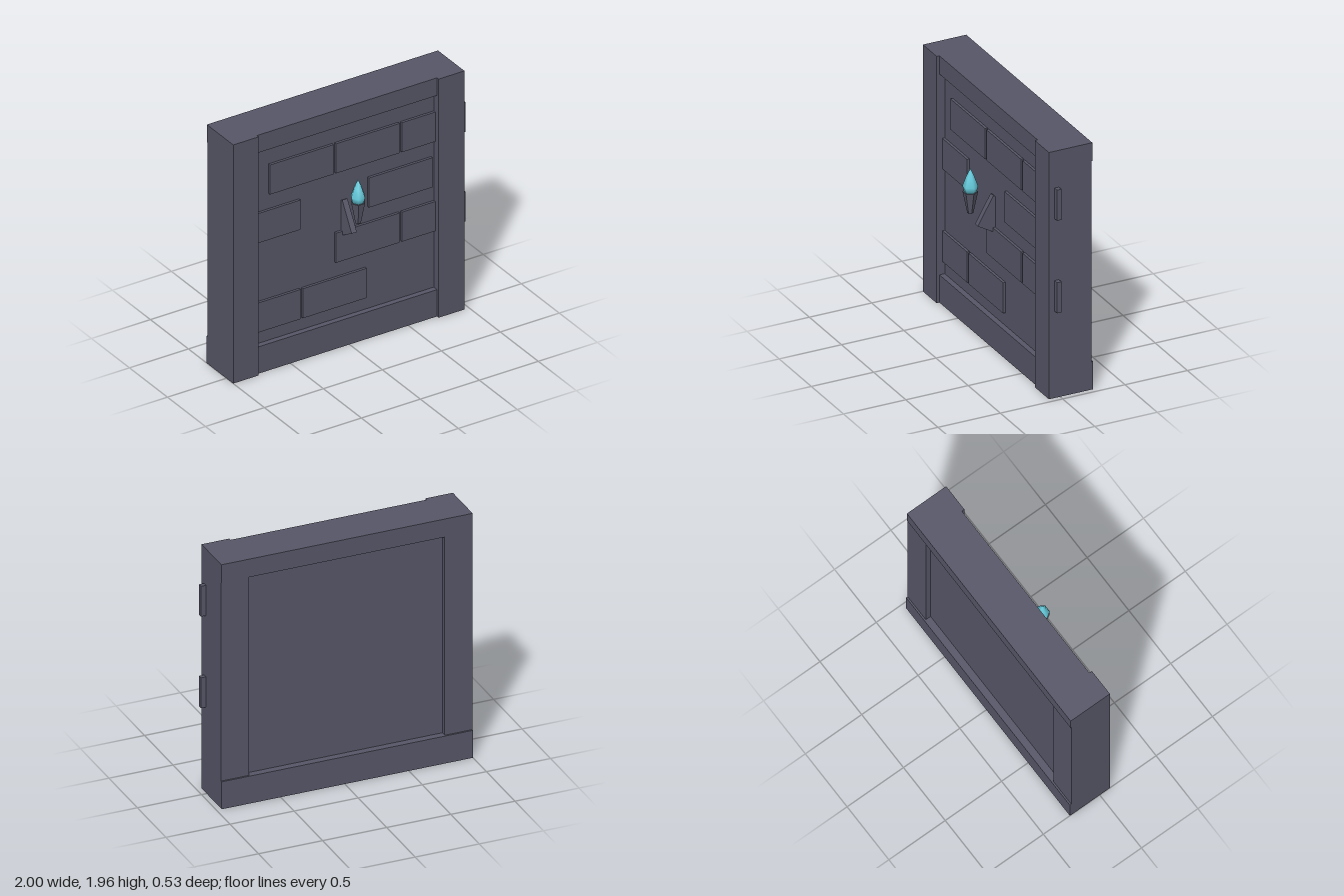
import * as THREE from 'three';

export function createModel() {
  const group = new THREE.Group();
  const stone = new THREE.MeshStandardMaterial({ color: 0x555566 });
  stone.name = 'slate stone';
  const flameBlue = new THREE.MeshStandardMaterial({ color: 0x66ccdd });
  flameBlue.name = 'flame blue';

  const add = (name, geometry, material = stone) => {
    const mesh = new THREE.Mesh(geometry, material);
    mesh.name = name;
    group.add(mesh);
    return mesh;
  };
  // Box given by its minimum and maximum on each axis
  const block = (name, x0, x1, y0, y1, z0, z1) => {
    const mesh = add(name, new THREE.BoxGeometry(x1 - x0, y1 - y0, z1 - z0));
    mesh.position.set((x0 + x1) / 2, (y0 + y1) / 2, (z0 + z1) / 2);
    return mesh;
  };

  // Frame and recessed panel
  block('rightPost', -1, -0.785, 0, 1.96, -0.252, 0.09);
  block('leftPost', 0.742, 0.96, 0, 1.96, -0.252, 0.09);
  block('topBeam', -1, 0.96, 1.815, 1.96, -0.258, 0.068);
  block('bottomBeam', -1, 0.96, 0, 0.22, -0.265, 0.068);
  block('wallPanel', -0.8, 0.76, 0.2, 1.83, -0.21, 0.025);

  // Raised bricks: row bottom, then the right-hand edge of each brick
  const rows = [
    [1.425, [-0.66, -0.1, 0.46]],
    [1.057, [-0.94, 0.18]],
    [0.69, [-0.1, 0.46]],
    [0.322, [-0.94, -0.38]],
  ];
  for (const [y, starts] of rows) {
    for (const x of starts) block('brick', x, x + 0.54, y, y + 0.243, 0.01, 0.045);
  }

  // Tilted bracket, turned about its lower front edge
  const bracketShape = new THREE.BoxGeometry(0.044, 0.25, 0.18);
  bracketShape.translate(0, 0.125, -0.09);
  const bracket = add('torchBracket', bracketShape);
  bracket.position.set(-0.022, 0.97, 0.165);
  bracket.rotation.x = -Math.PI / 6;

  // Six-sided torch with corners pointing sideways
  const handleShape = new THREE.CylinderGeometry(0.056, 0.022, 0.17, 6).toNonIndexed();
  handleShape.rotateY(Math.PI / 2);
  handleShape.computeVertexNormals();
  add('torchHandle', handleShape).position.set(-0.022, 1.165, 0.214);

  const flameProfile = [[0, 0], [0.046, 0], [0.056, 0.045], [0.031, 0.115], [0, 0.187]]
    .map(([r, y]) => new THREE.Vector2(r, y));
  const flame = add('flame', new THREE.LatheGeometry(flameProfile, 6), flameBlue);
  flame.rotation.y = Math.PI / 2;
  flame.position.set(-0.022, 1.25, 0.214);

  return group;
}
